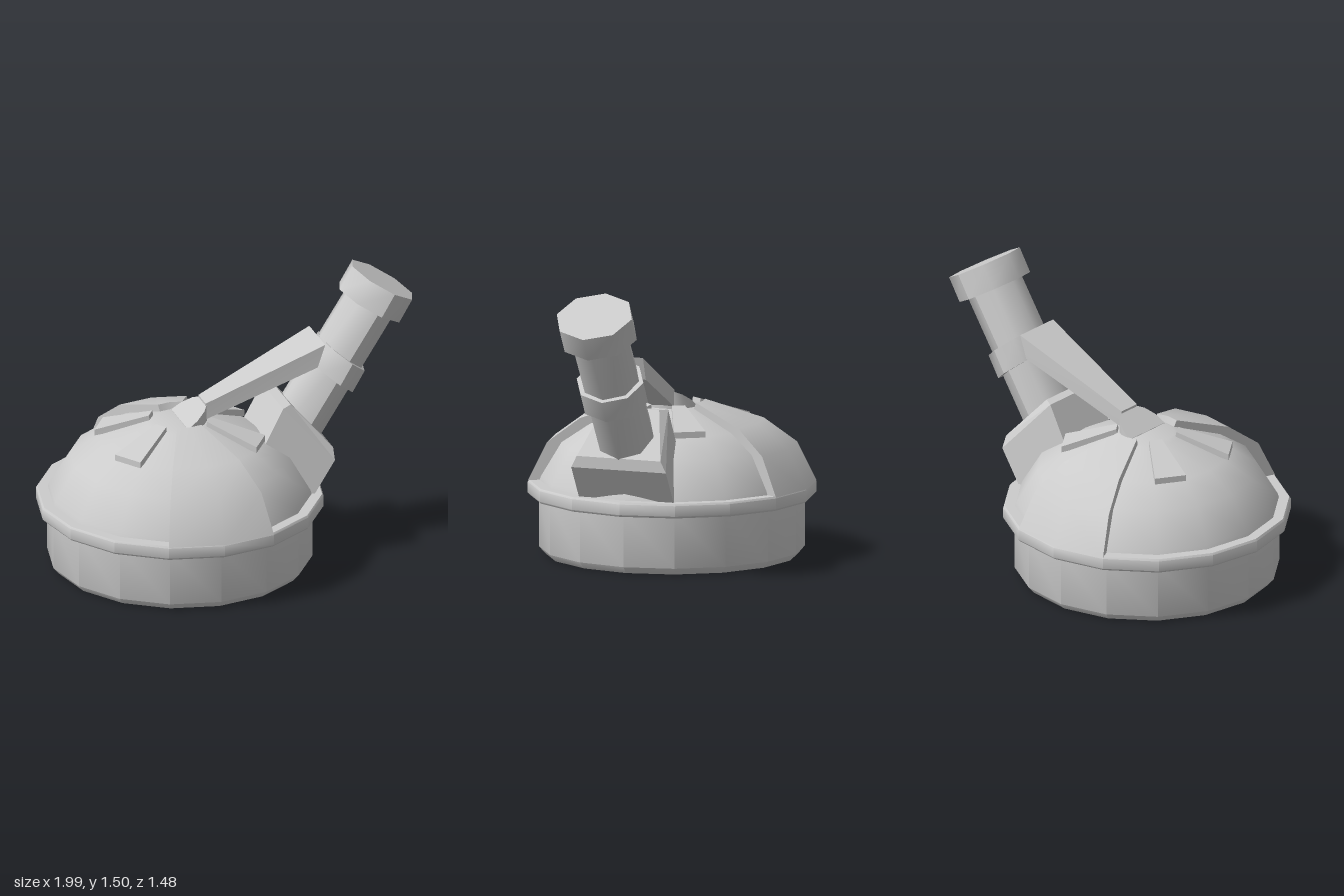
import * as THREE from 'three';
import { toCreasedNormals } from 'three/addons/utils/BufferGeometryUtils.js';

const CX = -0.26; // centre of the round body
const material = new THREE.MeshStandardMaterial({ color: 0xcccccc });

function makeMesh(name, geometry, crease = 0.7) {
  const flat = geometry.index ? geometry.toNonIndexed() : geometry;
  const mesh = new THREE.Mesh(toCreasedNormals(flat, crease), material);
  mesh.name = name;
  return mesh;
}

// Closed solid through matching rings of [x, y, z]; winding is set from its volume.
function loft(rings) {
  const n = rings[0].length;
  const last = rings.length - 1;
  const tris = [];
  for (let i = 0; i < last; i++) {
    for (let j = 0; j < n; j++) {
      const k = (j + 1) % n;
      const [a, b, c, d] = [rings[i][j], rings[i][k], rings[i + 1][k], rings[i + 1][j]];
      tris.push([a, b, c], [a, c, d]);
    }
  }
  for (let j = 1; j < n - 1; j++) {
    tris.push([rings[0][0], rings[0][j + 1], rings[0][j]]);
    tris.push([rings[last][0], rings[last][j], rings[last][j + 1]]);
  }
  let volume = 0;
  for (const t of tris) {
    const [a, b, c] = t.map((p) => new THREE.Vector3(...p));
    volume += a.dot(b.cross(c));
  }
  if (volume < 0) tris.forEach((t) => t.reverse());
  const geometry = new THREE.BufferGeometry();
  geometry.setAttribute('position', new THREE.Float32BufferAttribute(tris.flat(2), 3));
  return geometry;
}

function lathe(name, profile) {
  const points = profile.map(([r, y]) => new THREE.Vector2(r, y));
  const mesh = makeMesh(name, new THREE.LatheGeometry(points, 16));
  mesh.position.x = CX;
  return mesh;
}

// Eight-sided tube between two points of the xy plane; skew tilts its end faces.
function tube(name, [x0, y0], [x1, y1], radius, halfDepth, skew = 0) {
  const geometry = new THREE.CylinderGeometry(radius, radius, Math.hypot(x1 - x0, y1 - y0), 8);
  const pos = geometry.attributes.position;
  for (let i = 0; i < pos.count; i++) pos.setY(i, pos.getY(i) - skew * pos.getX(i));
  geometry.scale(1, 1, halfDepth / radius);
  const mesh = makeMesh(name, geometry, 0.85);
  mesh.position.set((x0 + x1) / 2, (y0 + y1) / 2, 0);
  mesh.rotation.z = Math.atan2(y1 - y0, x1 - x0) - Math.PI / 2;
  return mesh;
}

// Four corners: upper edge then lower edge, mirrored in z.
const quad = ([xt, yt, zt], [xb, yb, zb]) => [[xt, yt, zt], [xt, yt, -zt], [xb, yb, -zb], [xb, yb, zb]];

export function createModel() {
  const model = new THREE.Group();
  model.name = 'domedTurret';

  // Drum, rim and dome
  model.add(lathe('base', [[0, 0], [0.65, 0], [0.68, 0.035], [0.68, 0.32], [0, 0.32]]));
  model.add(lathe('rim', [[0.66, 0.305], [0.73, 0.305], [0.738, 0.315], [0.738, 0.37], [0.73, 0.38], [0.66, 0.38]]));
  model.add(lathe('dome', [[0.68, 0.37], [0.67, 0.4], [0.565, 0.575], [0.42, 0.67], [0.17, 0.76], [0.14, 0.77], [0, 0.77]]));

  // Raised panels on the front and back of the dome: outer radius, inner radius, height
  const panelLevels = [
    [0.738, 0.64, 0.375, 0.375], [0.64, 0.54, 0.575, 0.55],
    [0.47, 0.4, 0.7, 0.64], [0.17, 0.15, 0.798, 0.75],
  ];
  for (const side of [1, -1]) {
    const rings = panelLevels.map(([ro, ri, yo, yi]) => {
      const at = (r, y, step) => [r * Math.sin(step * Math.PI / 8), y, side * r * Math.cos(step * Math.PI / 8)];
      return [at(ro, yo, 0), at(ro, yo, 1), at(ri, yi, 1), at(ri, yi, 0), at(ri, yi, -1), at(ro, yo, -1)];
    });
    const panel = makeMesh(side > 0 ? 'frontPanel' : 'backPanel', loft(rings));
    panel.position.x = CX;
    model.add(panel);
  }

  // Four tapered ribs radiating from the crown
  const ribAngle = 0.585;
  for (const angle of [ribAngle, Math.PI - ribAngle, Math.PI + ribAngle, -ribAngle]) {
    const rib = makeMesh('rib', loft([
      quad([0.155, 0.79, 0.034], [0.145, 0.74, 0.034]),
      quad([0.43, 0.7, 0.083], [0.43, 0.668, 0.083]),
    ]));
    rib.position.x = CX;
    rib.rotation.y = angle;
    model.add(rib);
  }

  // Half-round ramp on the crown, rising to the arm
  const rampRing = (height) => Array.from({ length: 9 }, (_, i) => {
    const a = -Math.PI / 2 + i * Math.PI / 8;
    const x = 0.14 * Math.cos(a);
    return [CX + x, height(x), 0.14 * Math.sin(a)];
  });
  model.add(makeMesh('armRamp', loft([rampRing(() => 0.74), rampRing((x) => 0.772 + 0.7 * x)]), 0.5));

  // Arm widening towards the collar
  model.add(makeMesh('arm', loft([
    quad([-0.14, 0.868, 0.06], [-0.14, 0.78, 0.06]),
    quad([0.48, 1.14, 0.13], [0.44, 1.02, 0.13]),
  ]), 0.5));

  // Bevelled socket block holding the tube
  model.add(makeMesh('socket', loft([
    quad([0.12, 0.61, 0.18], [0.37, 0.36, 0.26]),
    quad([0.24, 0.835, 0.175], [0.49, 0.55, 0.26]),
    quad([0.29, 0.84, 0.145], [0.49, 0.61, 0.23]),
  ]), 0.2));

  // Slanted tube with collar and end cap
  model.add(tube('tube', [0.36, 0.66], [0.775, 1.31], 0.14, 0.157));
  model.add(tube('collar', [0.545, 0.925], [0.61, 1.035], 0.15, 0.183, 0.16));
  model.add(tube('endCap', [0.76, 1.285], [0.83, 1.403], 0.186, 0.206));

  return model;
}
